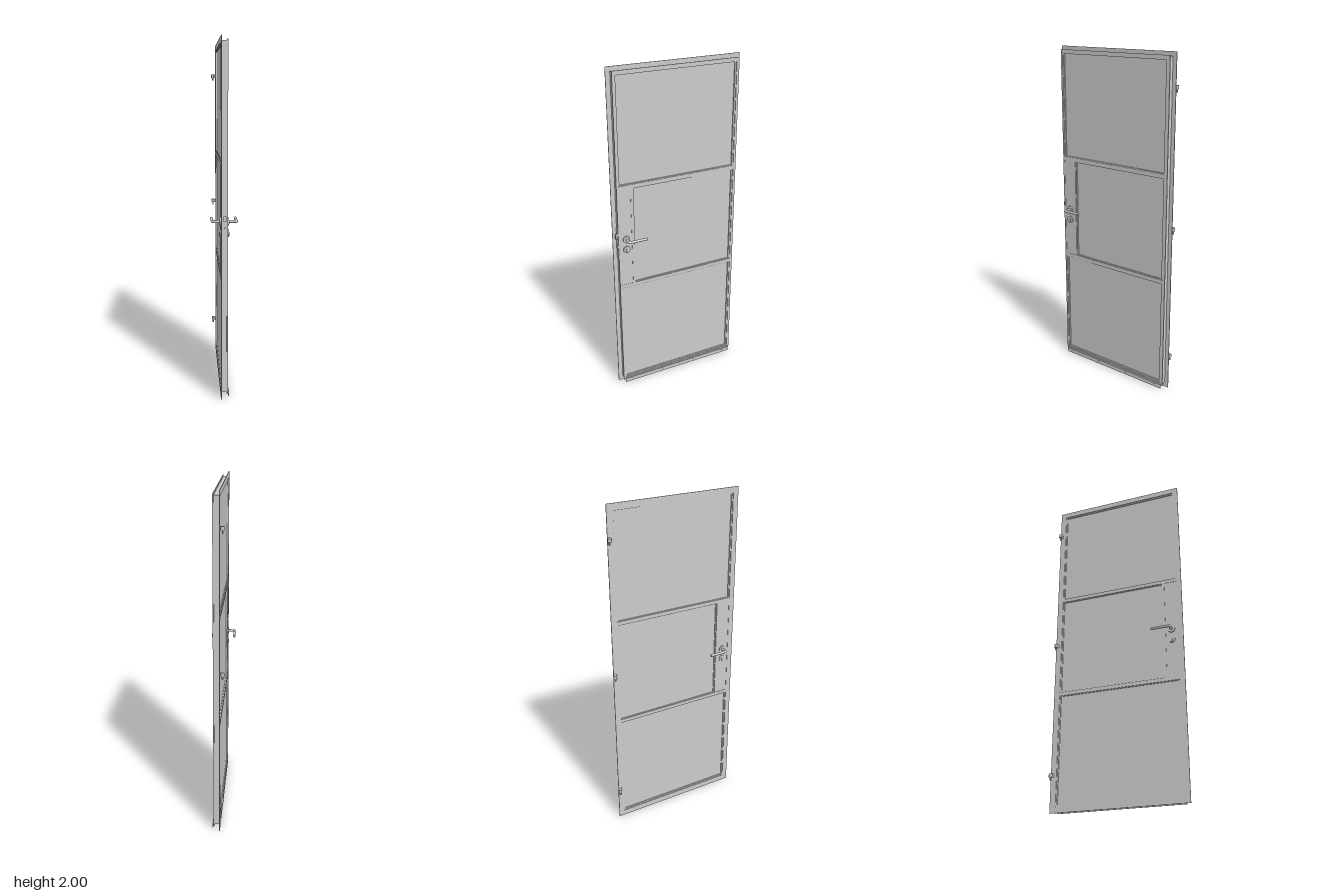
import * as THREE from 'three';

const mat = new THREE.MeshStandardMaterial({ color: 0xcccccc });

export function createModel() {
  const door = new THREE.Group();
  door.name = 'door';

  function add(name, geo, parent = door) {
    const m = new THREE.Mesh(geo, mat);
    m.name = name;
    parent.add(m);
    return m;
  }

  // box given by its limits on each axis
  function box(name, x0, x1, y0, y1, z0, z1, parent) {
    const m = add(name, new THREE.BoxGeometry(x1 - x0, y1 - y0, z1 - z0), parent);
    m.position.set((x0 + x1) / 2, (y0 + y1) / 2, (z0 + z1) / 2);
    return m;
  }

  // rectangular ring in the door plane; rect = [z0, z1, y0, y1]
  function ring(name, x0, x1, outer, inner) {
    const corners = ([a, b, c, d]) => [[a, c], [b, c], [b, d], [a, d]].map(p => new THREE.Vector2(...p));
    const shape = new THREE.Shape(corners(outer));
    shape.holes.push(new THREE.Path(corners(inner)));
    const geo = new THREE.ExtrudeGeometry(shape, { depth: x1 - x0, bevelEnabled: false });
    geo.rotateY(-Math.PI / 2).translate(x1, 0, 0);
    return add(name, geo);
  }

  // cylinder lying along x
  function rod(name, x0, x1, r, y, z, parent, segments = 32) {
    const m = add(name, new THREE.CylinderGeometry(r, r, x1 - x0, segments).rotateZ(Math.PI / 2), parent);
    m.position.set((x0 + x1) / 2, y, z);
    return m;
  }

  // perimeter frame: wide rear flange, hollow section, front face
  ring('rearFlange', -0.023, -0.019, [-0.405, 0.408, 0, 2], [-0.37, 0.375, 0.035, 1.967]);
  ring('frameSection', -0.019, 0.01, [-0.381, 0.381, 0.03, 1.975], [-0.365, 0.37, 0.045, 1.96]);
  ring('frontFlange', 0.01, 0.016, [-0.386, 0.386, 0.02, 1.982], [-0.37, 0.375, 0.037, 1.967]);

  // cross rails between the panels
  for (const y of [0.7, 1.33]) {
    box('railCore', -0.019, 0.01, y - 0.008, y + 0.008, -0.37, 0.375);
    box('railFrontFace', 0.01, 0.016, y - 0.011, y + 0.011, -0.37, 0.375);
    box('railRearFace', -0.023, -0.019, y - 0.011, y + 0.011, -0.37, 0.375);
  }

  // lock box and its inner stile
  box('lockBox', -0.021, 0.0145, 0.705, 1.325, 0.3, 0.38);
  box('lockStile', -0.023, 0.016, 0.705, 1.325, 0.289, 0.301);

  // panels with stepped glazing beads
  const panels = [
    [-0.37, 0.375, 0.037, 0.694],
    [-0.37, 0.291, 0.706, 1.324],
    [-0.37, 0.375, 1.336, 1.967],
  ];
  for (const [z0, z1, y0, y1] of panels) {
    box('panel', -0.013, 0.005, y0, y1, z0, z1);
    const inset = d => [z0 + d, z1 - d, y0 + d, y1 - d];
    ring('frontBead', 0.005, 0.012, inset(0), inset(0.01));
    ring('rearBead', -0.018, -0.013, inset(0), inset(0.008));
  }

  // bottom seal strip with screws
  box('dripStrip', 0.019, 0.023, 0.003, 0.028, -0.378, 0.376);
  box('dripStripLip', 0.01, 0.019, 0.022, 0.028, -0.378, 0.376);
  for (const z of [-0.33, -0.11, 0.115, 0.335]) rod('stripScrew', 0.023, 0.0255, 0.004, 0.018, z, door, 16);

  // lever sets on both faces
  for (const s of [1, -1]) {
    const set = new THREE.Group();
    set.name = s > 0 ? 'frontLeverSet' : 'rearLeverSet';
    set.position.x = -0.0015;
    if (s < 0) set.rotation.z = Math.PI;
    const y = s * 1.008;
    rod('handleRosette', 0.016, 0.026, 0.021, y, 0.337, set);
    const path = new THREE.CurvePath();
    const a = new THREE.Vector3(0.02, y, 0.337);
    const b = new THREE.Vector3(0.062, y, 0.337);
    const corner = new THREE.Vector3(0.067, y, 0.337);
    const c = new THREE.Vector3(0.067, y, 0.332);
    const d = new THREE.Vector3(0.067, y, 0.228);
    path.add(new THREE.LineCurve3(a, b));
    path.add(new THREE.QuadraticBezierCurve3(b, corner, c));
    path.add(new THREE.LineCurve3(c, d));
    add('leverHandle', new THREE.TubeGeometry(path, 60, 0.0078, 20), set);
    const cap = add('leverEnd', new THREE.CylinderGeometry(0.007, 0.0078, 0.003, 20).rotateX(-Math.PI / 2), set);
    cap.position.set(0.067, y, 0.2265);

    const k = s * 0.943;
    rod('keyRosette', 0.016, 0.024, 0.021, k, 0.337, set);
    rod('keyCylinder', 0.024, 0.028, 0.007, k, 0.337, set, 24);
    box('keyCylinderTail', 0.024, 0.028, k - s * 0.008 - 0.008, k - s * 0.008 + 0.008, 0.333, 0.341, set);
    door.add(set);
  }

  // lock edge plate, latch and bolt
  box('lockPlate', -0.011, 0.009, 0.89, 1.088, 0.378, 0.3865);
  box('latch', -0.008, 0.006, 1.016, 1.046, 0.386, 0.397);
  box('deadBolt', -0.007, 0.005, 0.945, 0.98, 0.386, 0.389);

  // three hinges on the rear flange
  for (const y of [0.21, 1.015, 1.815]) {
    const hinge = new THREE.Group();
    hinge.name = 'hinge';
    hinge.position.set(-0.038, y, -0.4);
    add('hingeBarrel', new THREE.CylinderGeometry(0.01, 0.01, 0.02, 24), hinge);
    const pin = add('hingePin', new THREE.CylinderGeometry(0.0045, 0.0045, 0.02, 16), hinge);
    pin.position.y = -0.018;
    const leaf = add('hingeLeaf', new THREE.BoxGeometry(0.02, 0.02, 0.006), hinge);
    leaf.position.set(0.008, 0, 0.006);
    leaf.rotation.y = -0.5;
    door.add(hinge);
  }

  return door;
}
